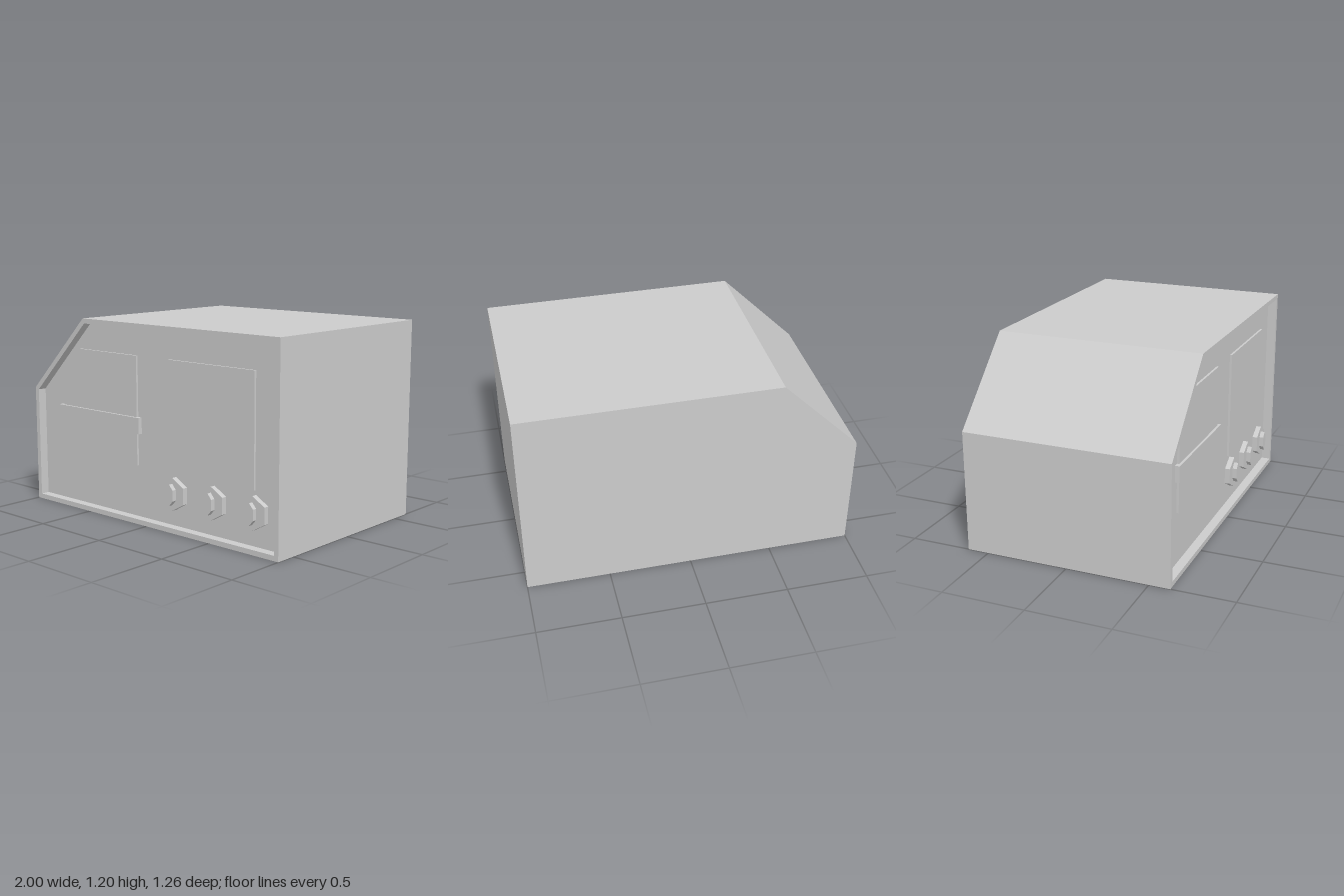
import * as THREE from 'three';

const material = new THREE.MeshStandardMaterial({ color: 0xcccccc, flatShading: true });
const BACK = -0.63, FRONT = 0.626, PANEL = 0.571; // PANEL: floor of the front recess

const toPoints = (pts) => pts.map(([x, y]) => new THREE.Vector2(x, y));

// Extrude an outline from z0 to z1, with an optional hole
function slab(name, pts, z0, z1, hole) {
  const shape = new THREE.Shape(toPoints(pts));
  if (hole) shape.holes.push(new THREE.Path(toPoints(hole)));
  const geometry = new THREE.ExtrudeGeometry(shape, { depth: z1 - z0, bevelEnabled: false });
  geometry.translate(0, 0, z0);
  const mesh = new THREE.Mesh(geometry, material);
  mesh.name = name;
  return mesh;
}

const rect = (x0, y0, x1, y1) => [[x0, y0], [x1, y0], [x1, y1], [x0, y1]];

// Upright hexagon; tip is the half height, side the half height of the vertical edges
const hexagon = (w, tip, side) => [[0, -tip], [w, -side], [w, side], [0, tip], [-w, side], [-w, -side]];

export function createModel() {
  const group = new THREE.Group();
  group.name = 'controlBox';

  // Casing with one sloped corner, and a thin rim around the recessed front
  const outline = [[-1, 0], [1, 0], [1, 1.2], [-0.53, 1.2], [-1, 0.73]];
  const inner = [[-0.97, 0.03], [0.97, 0.03], [0.97, 1.17], [-0.518, 1.17], [-0.97, 0.718]];
  group.add(slab('casing', outline, BACK, PANEL));
  group.add(slab('frontRim', outline, PANEL, FRONT, inner));

  // Left plate with a clipped corner, crossed by a bar
  const plate = [[-0.77, 0.345], [-0.113, 0.345], [-0.113, 1.005], [-0.615, 1.005], [-0.77, 0.85]];
  group.add(slab('clippedPlate', plate, PANEL, PANEL + 0.013));
  group.add(slab('crossBar', rect(-0.802, 0.54, -0.085, 0.638), PANEL, PANEL + 0.027));

  // Square plate
  group.add(slab('squarePlate', rect(0.138, 0.348, 0.794, 1.005), PANEL, PANEL + 0.013));

  // Row of hexagonal knobs with raised grips
  for (const x of [0.195, 0.495, 0.798]) {
    const knob = new THREE.Group();
    knob.name = 'knob';
    knob.add(slab('knobBase', hexagon(0.086, 0.098, 0.049), PANEL, PANEL + 0.032));
    knob.add(slab('knobGrip', hexagon(0.028, 0.064, 0.032), PANEL + 0.032, 0.63));
    knob.position.set(x, 0.225, 0);
    group.add(knob);
  }
  return group;
}
